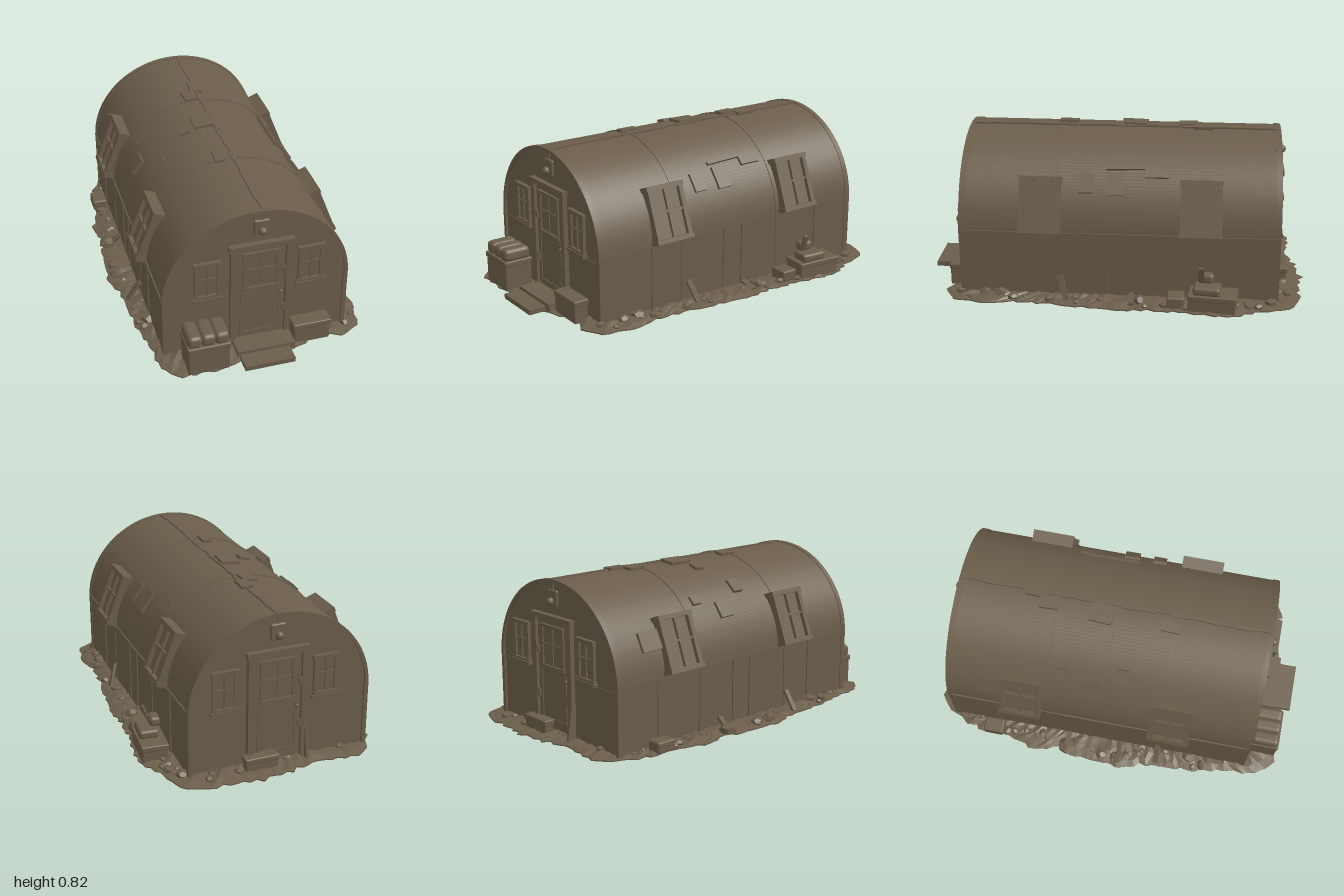
import * as THREE from 'three';
import { toCreasedNormals } from 'three/addons/utils/BufferGeometryUtils.js';
import { RoundedBoxGeometry } from 'three/addons/geometries/RoundedBoxGeometry.js';

const CX = -0.025, RX = 0.48, RY = 0.46, WALL = 0.34; // hut cross-section
const Z0 = -0.855, Z1 = 0.79;

let seed = 7;
const rnd = (a = 0, b = 1) => {
  seed = (seed * 16807) % 2147483647;
  return a + (b - a) * seed / 2147483647;
};

export function createModel() {
  const root = new THREE.Group();
  const mud = new THREE.MeshStandardMaterial({ color: 0x6a5d4a });
  mud.name = 'weathered brown';

  const add = (parent, name, geo, x = 0, y = 0, z = 0) => {
    const m = new THREE.Mesh(geo, mud);
    m.name = name;
    m.position.set(x, y, z);
    parent.add(m);
    return m;
  };
  const box = (parent, name, w, h, d, x, y, z) => add(parent, name, new THREE.BoxGeometry(w, h, d), x, y, z);
  const group = (parent, name, x = 0, y = 0, z = 0) => {
    const g = new THREE.Group();
    g.name = name;
    g.position.set(x, y, z);
    parent.add(g);
    return g;
  };

  // Hut shell
  const archPath = (P, inset) => {
    const p = new P(), w = RX - inset;
    p.moveTo(CX - w, 0);
    p.lineTo(CX + w, 0);
    p.lineTo(CX + w, WALL);
    p.absellipse(CX, WALL, w, RY - inset, 0, Math.PI, false);
    p.lineTo(CX - w, 0);
    return p;
  };
  const arch = (name, z0, z1, inset, hole) => {
    const s = archPath(THREE.Shape, inset);
    if (hole !== undefined) s.holes.push(archPath(THREE.Path, hole));
    const g = new THREE.ExtrudeGeometry(s, { depth: z1 - z0, bevelEnabled: false, curveSegments: 40 });
    return add(root, name, toCreasedNormals(g, 0.5), 0, 0, z0);
  };
  arch('hutBody', Z0 + 0.012, Z1 - 0.012, 0.004);
  for (const [a, b] of [[Z0, Z0 + 0.03], [Z1 - 0.03, Z1]]) arch('endRim', a, b, 0, 0.018);
  for (const z of [-0.33, 0.29]) arch('roofSeam', z, z + 0.012, 0, 0.012);

  // Group on the shell: local z points outward, local x runs along the hut
  const onRoof = (name, x, z, lift = 0) => {
    const c = THREE.MathUtils.clamp((x - CX) / RX, -1, 1), s = Math.sqrt(1 - c * c);
    const side = c >= 0 ? 1 : -1, tilt = Math.atan2(s / RY, Math.abs(c) / RX);
    const g = group(root, name, CX + RX * c + side * lift * Math.cos(tilt), WALL + RY * s + lift * Math.sin(tilt), z);
    g.rotation.set(-tilt, side * Math.PI / 2, 0, 'YXZ');
    return g;
  };

  // Framed window with cross bars, centred on its parent
  const windowIn = (g, w, h, depth, bar) => {
    box(g, 'windowPane', w - bar, h - bar, depth * 0.5, 0, 0, -depth * 0.15);
    for (const s of [-1, 1]) {
      box(g, 'windowJamb', bar, h, depth, s * (w - bar) / 2, 0, 0);
      box(g, 'windowRail', w + 0.01, bar, depth + 0.008, 0, s * (h - bar) / 2, 0);
    }
    box(g, 'windowMullion', bar * 0.5, h - bar, depth * 0.8, 0, 0, 0);
    box(g, 'windowMullion', w - bar, bar * 0.5, depth * 0.8, 0, 0.01, 0);
  };
  for (const [x, z] of [[0.425, 0.37], [0.425, -0.45], [-0.475, 0.35], [-0.475, -0.45]])
    windowIn(onRoof('sideWindow', x, z, 0.004), 0.21, 0.29, 0.055, 0.024);

  // Patches on the roof: x, z, length along the hut, width
  const patches = [[-0.06, -0.09, 0.12, 0.1], [-0.05, -0.37, 0.1, 0.07], [-0.07, 0.27, 0.1, 0.05], [0, -0.45, 0.1, 0.06],
    [-0.42, -0.08, 0.09, 0.09], [-0.34, 0.07, 0.06, 0.08], [-0.17, -0.04, 0.05, 0.06], [0.37, -0.01, 0.08, 0.12],
    [0.37, 0.14, 0.07, 0.1], [0.33, -0.22, 0.12, 0.05], [-0.46, -0.62, 0.12, 0.1], [-0.37, -0.24, 0.05, 0.05]];
  for (const [x, z, l, w] of patches) {
    const p = box(onRoof('roofPatch', x, z, 0.002), 'patchPlate', l, w, 0.016, 0, 0, 0);
    p.rotation.z = rnd(-0.06, 0.06);
  }
  box(onRoof('roofLath', 0.31, -0.1, 0.002), 'lath', 0.28, 0.018, 0.016, 0, 0, 0).rotation.z = 0.04;
  for (let z = -0.8; z < 0.76; z += 0.085) {
    const p = box(onRoof('ridgeSeam', rnd(-0.006, 0.006), z, 0), 'ridgeStrip', 0.09, rnd(0.01, 0.02), 0.008, 0, 0, 0);
    p.rotation.z = rnd(-0.08, 0.08);
  }

  // Lower wall battens
  for (const s of [-1, 1]) {
    const x = CX + s * (RX - 0.003);
    box(root, 'wallRail', 0.01, 0.01, Z1 - Z0 - 0.01, x, 0.355, (Z0 + Z1) / 2);
    for (const z of [0.48, 0.03, -0.09, -0.6]) box(root, 'wallBatten', 0.01, 0.35, 0.01, x, 0.175, z);
    for (const z of [Z0 + 0.012, Z1 - 0.012]) box(root, 'cornerPost', 0.022, 0.34, 0.022, x - s * 0.008, 0.17, z);
  }

  // End walls with door, two windows and a lamp
  const endWall = (name, z, turn) => {
    const g = group(root, name, -0.005, 0, z);
    g.rotation.y = turn;
    for (const s of [-1, 1]) {
      box(g, 'doorPost', 0.03, 0.6, 0.035, s * 0.142, 0.3, 0.008);
      for (const y of [0.2, 0.43]) box(g, 'doorHinge', 0.014, 0.04, 0.02, s * 0.12, y, 0.012);
      const w = group(g, 'endWindow', s > 0 ? 0.26 : -0.272, 0.44, 0.004);
      windowIn(w, 0.13, 0.215, 0.026, 0.02);
      box(w, 'windowSill', 0.155, 0.016, 0.045, 0, -0.108, 0);
      box(g, 'wallSeam', 0.3, 0.008, 0.008, s * 0.31, 0.32, -0.001);
    }
    box(g, 'doorLintel', 0.33, 0.026, 0.045, 0, 0.607, 0.008);
    box(g, 'doorLeaf', 0.25, 0.56, 0.018, 0, 0.31, 0.002);
    windowIn(group(g, 'doorWindow', 0, 0.455, 0.01), 0.185, 0.225, 0.02, 0.016);
    for (const s of [-1, 1]) box(g, 'doorPanelEdge', 0.012, 0.25, 0.012, s * 0.098, 0.2, 0.01);
    box(g, 'doorPanelEdge', 0.2, 0.012, 0.012, 0, 0.075, 0.01);
    const knob = add(g, 'doorKnob', new THREE.SphereGeometry(0.01, 10, 8), 0.105, 0.3, 0.018);
    knob.scale.z = 0.8;
    add(g, 'lampPlate', new RoundedBoxGeometry(0.08, 0.085, 0.02, 2, 0.008), 0, 0.705, 0.004);
    add(g, 'lampBulb', new THREE.SphereGeometry(0.021, 14, 10), 0, 0.69, 0.022);
    box(g, 'lampConduit', 0.012, 0.05, 0.014, 0, 0.765, 0.002);
  };
  endWall('frontWall', Z1 - 0.012, 0);
  endWall('backWall', Z0 + 0.012, Math.PI);

  // Ground patch
  const rim = [[-0.5, -0.89], [-0.4, -0.94], [-0.15, -0.93], [0, -0.98], [0.2, -0.98], [0.4, -0.95], [0.53, -0.88], [0.57, -0.74],
    [0.62, -0.6], [0.6, -0.4], [0.58, -0.2], [0.59, 0], [0.57, 0.15], [0.55, 0.3], [0.53, 0.5], [0.55, 0.66], [0.52, 0.8],
    [0.45, 0.87], [0.3, 0.84], [0.12, 0.92], [-0.1, 0.93], [-0.25, 0.94], [-0.45, 0.95], [-0.53, 0.85], [-0.56, 0.65],
    [-0.59, 0.5], [-0.59, 0.3], [-0.64, 0.1], [-0.64, -0.1], [-0.6, -0.25], [-0.63, -0.36], [-0.59, -0.5], [-0.57, -0.7]];
  const curve = new THREE.CatmullRomCurve3(rim.map(([x, z]) => new THREE.Vector3(x, 0, z)), true);
  const N = 170, pos = [], idx = [];
  const edge = Array.from({ length: N }, (_, i) => curve.getPointAt(i / N).multiplyScalar(rnd(0.98, 1.018)));
  const rings = [[0, 0, 0], [1, 0, 0], [1, 0.006, 0], [0.95, 0.01, 0.01], [0.89, 0.012, 0.016], [0.82, 0.016, 0.014], [0, 0.02, 0]];
  rings.forEach(([s, y, j], r) => edge.forEach((p, i) => {
    pos.push(p.x * s, y + rnd(0, j), p.z * s);
    const n = (i + 1) % N, a = r * N + i, b = r * N + n;
    if (r < rings.length - 1) idx.push(b, a, a + N, b, a + N, b + N);
  }));
  let ground = new THREE.BufferGeometry();
  ground.setAttribute('position', new THREE.Float32BufferAttribute(pos, 3));
  ground.setIndex(idx);
  ground = ground.toNonIndexed();
  ground.computeVertexNormals();
  add(root, 'groundPatch', ground);

  // Rubble scattered between the walls and the ground edge
  const rubble = group(root, 'rubble');
  for (let i = 0; i < 120; i++) {
    const p = curve.getPointAt(rnd()).multiplyScalar(rnd(0.86, 0.97));
    if (p.z > 0.78 && p.x < 0.36) continue;
    const r = rnd(0.008, 0.026) * (i % 7 === 0 ? 1.5 : 1);
    const m = add(rubble, 'rock', new THREE.DodecahedronGeometry(r), p.x, 0.012 + r * 0.35, p.z);
    m.scale.set(rnd(0.8, 1.4), rnd(0.6, 0.9), rnd(0.8, 1.4));
    m.rotation.y = rnd(0, 6);
  }

  // Front steps
  box(root, 'lowerStep', 0.26, 0.026, 0.1, -0.01, 0.015, 0.945);
  box(root, 'upperStep', 0.3, 0.045, 0.12, 0, 0.023, 0.842);

  // Crates with lids
  const crate = (name, w, h, d, x, z, turn = 0) => {
    const g = group(root, name, x, 0, z);
    g.rotation.y = turn;
    add(g, 'crateBody', new RoundedBoxGeometry(w - 0.008, h, d - 0.008, 2, 0.008), 0, h / 2, 0);
    add(g, 'crateLid', new RoundedBoxGeometry(w, 0.03, d, 2, 0.006), 0, h - 0.014, 0);
    return g;
  };
  const sack = (g, w, h, d, x, y, z) => add(g, 'sack', new RoundedBoxGeometry(w, h, d, 4, Math.min(w, h, d) * 0.35), x, y, z);
  const left = crate('sackCrate', 0.22, 0.165, 0.16, -0.31, 0.872);
  for (const x of [-0.07, 0, 0.068]) sack(left, 0.074, 0.068, 0.15, x, 0.193, 0).rotation.z = x * 0.8;
  crate('lowCrate', 0.2, 0.12, 0.085, 0.25, 0.83);
  crate('backCrate', 0.18, 0.08, 0.06, 0.09, -0.885);
  const sideCrate = crate('sideCrate', 0.14, 0.095, 0.25, 0.535, -0.52, -0.1);
  sack(sideCrate, 0.1, 0.045, 0.14, 0.01, 0.115, 0.03);
  sack(sideCrate, 0.055, 0.05, 0.08, -0.03, 0.16, 0.04);
  add(root, 'smallBlock', new RoundedBoxGeometry(0.1, 0.06, 0.09, 2, 0.01), 0.52, 0.04, -0.33);
  add(root, 'leftBlock', new RoundedBoxGeometry(0.08, 0.06, 0.11, 2, 0.01), -0.55, 0.035, -0.62);

  // Loose planks: position, length, tilt about z and x
  for (const [x, y, z, l, rz, rx] of [[0.53, 0.18, -0.46, 0.11, -0.35, 0.1], [-0.545, 0.06, 0.3, 0.12, -0.6, 0], [0.49, 0.07, 0.25, 0.14, 0.3, 0.3],
    [-0.16, 0.1, -0.87, 0.2, 0, 0.15], [0.5, 0.025, -0.1, 0.1, 1.4, 0.2], [-0.55, 0.04, -0.2, 0.1, -0.9, 0.2]]) {
    const p = box(root, 'loosePlank', 0.014, l, 0.028, x, y, z);
    p.rotation.set(rx, 0, rz);
  }
  return root;
}
